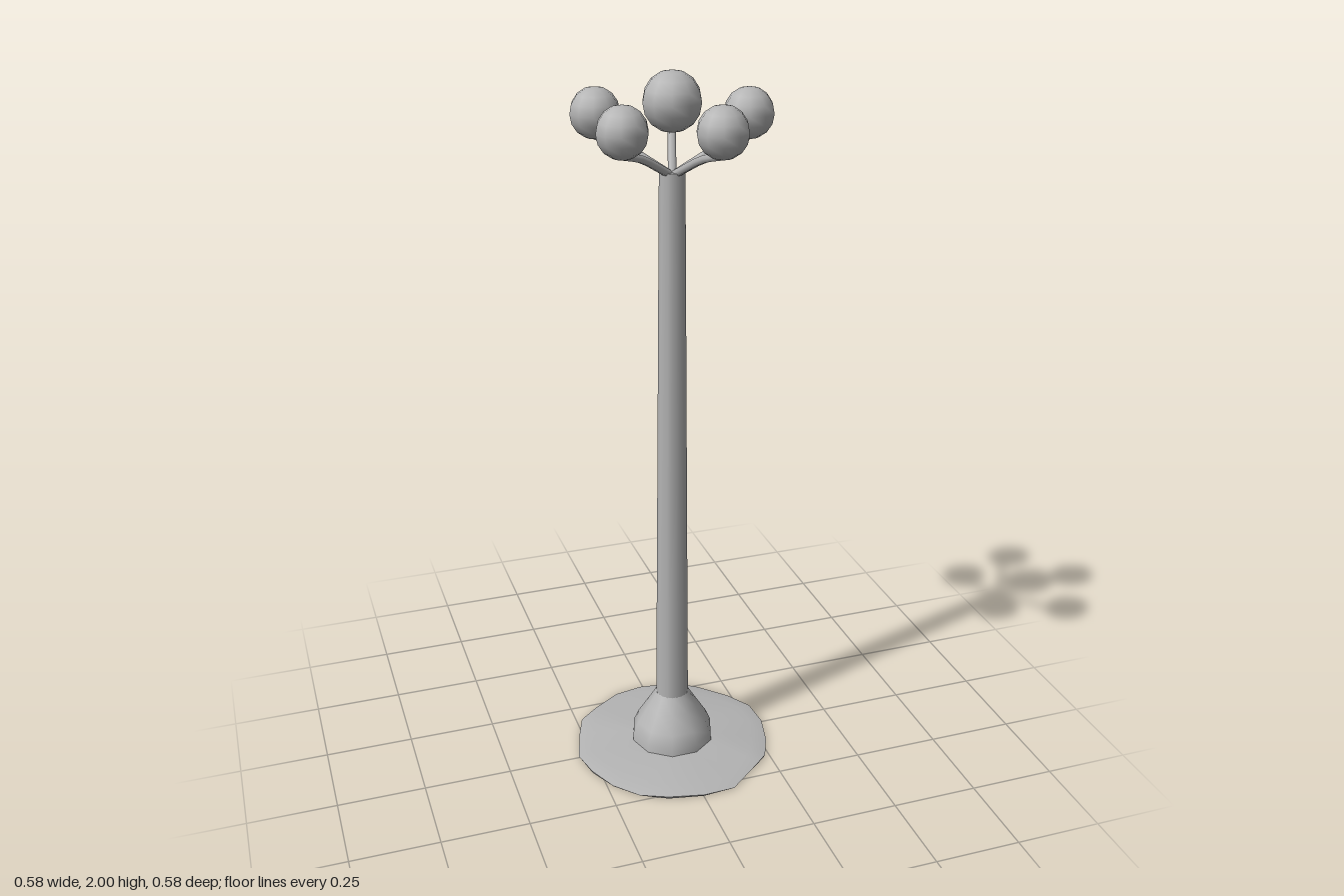
import * as THREE from 'three';

const grey = new THREE.MeshStandardMaterial({ color: 0xb4b4b4 });
grey.name = 'grey';

function part(name, geometry, parent) {
  const mesh = new THREE.Mesh(geometry, grey);
  mesh.name = name;
  parent.add(mesh);
  return mesh;
}

// Irregular low mound: the outline is scaled inwards in rings, with a flat underside
function moundGeometry() {
  const outline = [
    [-0.01, -0.293], [0.1, -0.275], [0.165, -0.237], [0.24, -0.16], [0.282, -0.083],
    [0.29, 0], [0.27, 0.09], [0.235, 0.17], [0.2, 0.2], [0.095, 0.283],
    [0, 0.29], [-0.1, 0.27], [-0.175, 0.23], [-0.235, 0.165], [-0.275, 0.085],
    [-0.292, 0], [-0.26, -0.11], [-0.235, -0.175], [-0.175, -0.225], [-0.093, -0.282],
  ];
  // [scale, height]; the rim is doubled so that its edge stays sharp
  const rings = [[0, 0.003], [0.99, 0.003], [0.99, 0.003], [1, 0.008], [1, 0.008], [0.85, 0.018], [0.42, 0.028], [0, 0.03]];
  const n = outline.length;
  const positions = [];
  const index = [];
  rings.forEach(([s, y], r) => outline.forEach(([x, z], i) => {
    const wave = r > 2 && r < 6 ? 0.003 * Math.sin(i * 1.9) : 0;
    positions.push(x * s, y + wave, z * s);
    if (r === rings.length - 1) return;
    const a = r * n + i, b = r * n + (i + 1) % n;
    index.push(a, b, a + n, b, b + n, a + n);
  }));
  for (let i = 0; i < positions.length; i += 3) positions[i + 1] = Math.max(0, positions[i + 1] - 0.003);
  const geometry = new THREE.BufferGeometry();
  geometry.setAttribute('position', new THREE.Float32BufferAttribute(positions, 3));
  // the outline runs clockwise from below, so flip each triangle to face outwards
  for (let i = 0; i < index.length; i += 3) [index[i + 1], index[i + 2]] = [index[i + 2], index[i + 1]];
  geometry.setIndex(outwards(positions, index));
  geometry.computeVertexNormals();
  return geometry;
}

// Reverses all triangles if the enclosed volume comes out negative
function outwards(positions, index) {
  const at = (i) => new THREE.Vector3().fromArray(positions, i * 3);
  let volume = 0;
  for (let i = 0; i < index.length; i += 3) {
    volume += at(index[i]).dot(at(index[i + 1]).cross(at(index[i + 2])));
  }
  return volume < 0 ? index.slice().reverse() : index;
}

export function createModel() {
  const model = new THREE.Group();
  model.name = 'globeLampPost';

  part('groundMound', moundGeometry(), model);

  // Flared foot and tapering post
  const profile = (points) => points.map(([r, y]) => new THREE.Vector2(r, y));
  part('flaredFoot', new THREE.LatheGeometry(
    profile([[0.123, 0.01], [0.121, 0.05], [0.106, 0.085], [0.075, 0.135], [0.048, 0.18]]), 10, Math.PI / 2), model);
  const post = part('post', new THREE.CylinderGeometry(0.034, 0.047, 1.57, 10), model);
  post.position.y = 0.96;

  // Central globe
  const globe = part('centreGlobe', new THREE.SphereGeometry(0.078, 10, 8), model);
  globe.position.y = 1.922;

  // Five curved arms, each with a globe
  const armPath = new THREE.CatmullRomCurve3([
    new THREE.Vector3(0.005, 1.735, 0), new THREE.Vector3(0.06, 1.765, 0),
    new THREE.Vector3(0.13, 1.8, 0), new THREE.Vector3(0.207, 1.822, 0),
  ]);
  const armGeometry = new THREE.TubeGeometry(armPath, 6, 0.011, 6);
  const globeGeometry = new THREE.SphereGeometry(0.067, 10, 8);
  for (let i = 0; i < 5; i++) {
    const branch = new THREE.Group();
    branch.name = 'lampBranch';
    branch.rotation.y = (i * 2 * Math.PI) / 5;
    part('arm', armGeometry, branch);
    part('globe', globeGeometry, branch).position.set(0.207, 1.88, 0);
    model.add(branch);
  }
  return model;
}
